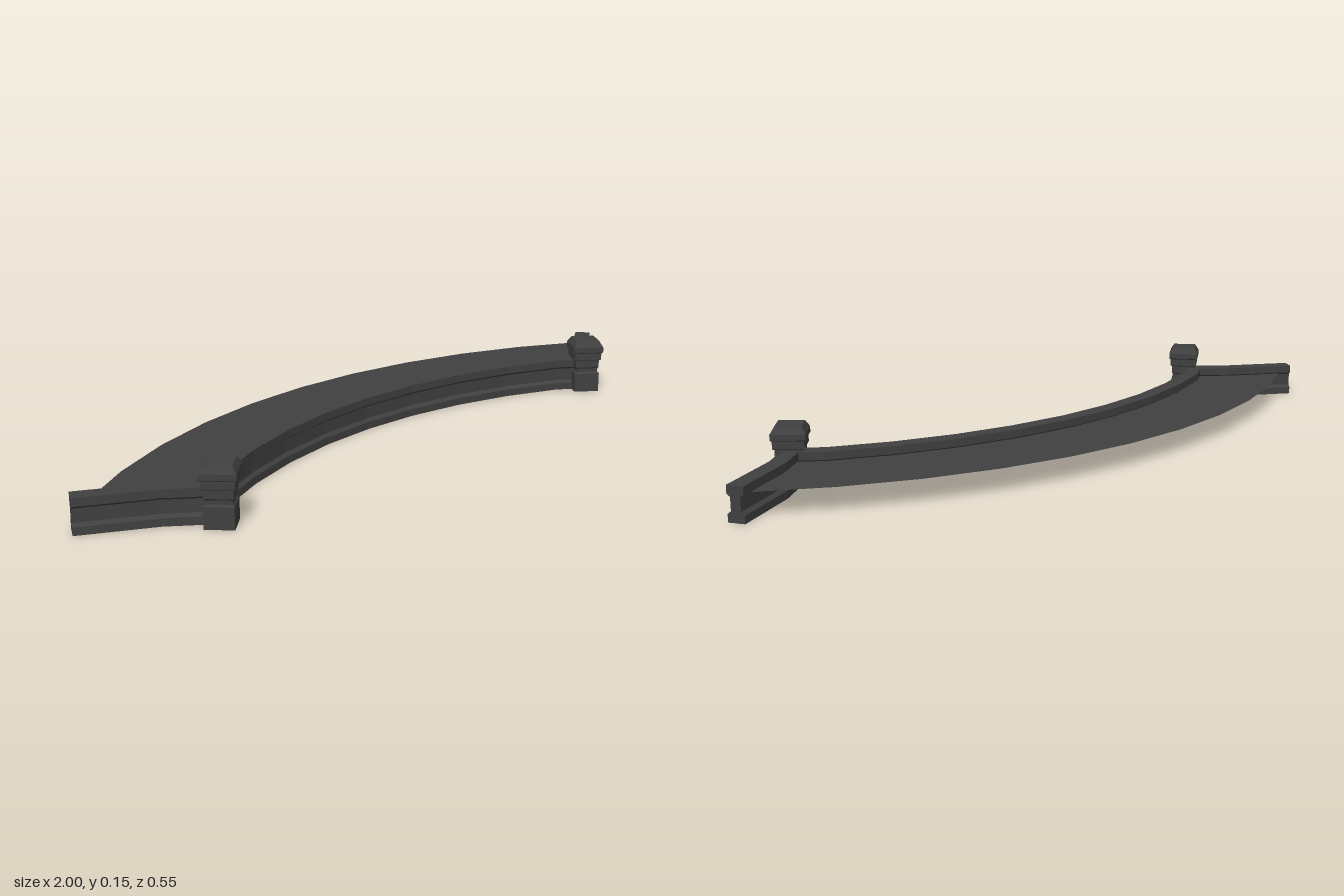
import * as THREE from 'three';

const CZ = 1.445;                       // centre of the arcs on the z axis
const onArc = (r, a) => new THREE.Vector2(r * Math.sin(a), CZ - r * Math.cos(a));
const arc = (r, half, n) =>
  Array.from({ length: n + 1 }, (_, i) => onArc(r, half * (2 * i / n - 1)));

const material = new THREE.MeshStandardMaterial({
  color: 0x404040, flatShading: true, side: THREE.DoubleSide });

// Sweep a closed (offset, height) profile along ground points (x, z) with mitred joints
function sweep(profile, path) {
  const n = path.length - 1;
  const shape = new THREE.Shape(profile.map(p => new THREE.Vector2(...p)));
  const geo = new THREE.ExtrudeGeometry(shape, { depth: n, steps: n, bevelEnabled: false });
  const dirs = path.slice(1).map((p, i) => p.clone().sub(path[i]).normalize());
  const mitres = path.map((_, i) => {
    const a = dirs[Math.max(i - 1, 0)], b = dirs[Math.min(i, n - 1)];
    const t = a.clone().add(b).normalize();
    return new THREE.Vector2(t.y, -t.x).divideScalar(t.dot(a));
  });
  const pos = geo.attributes.position;
  for (let i = 0; i < pos.count; i++) {
    const k = Math.round(pos.getZ(i)), u = pos.getX(i);
    pos.setXYZ(i, path[k].x + u * mitres[k].x, pos.getY(i), path[k].y + u * mitres[k].y);
  }
  geo.computeVertexNormals();
  return geo;
}

export function createModel() {
  const group = new THREE.Group();
  const add = (name, geo) => {
    const mesh = new THREE.Mesh(geo, material);
    mesh.name = name;
    group.add(mesh);
    return mesh;
  };

  // Ground line of the edging: corner, bend and end of each wing
  const wing = [[0.732, 0.178], [0.815, 0.108], [0.988, 0.005]]
    .map(p => new THREE.Vector2(...p));
  const mirrored = wing.map(p => new THREE.Vector2(-p.x, p.y)).reverse();
  const front = arc(1.477, 0.468, 8);

  // Moulded edging: base, narrow neck and cap
  const half = [[0.022, 0], [0.022, 0.02], [0.013, 0.028],
    [0.013, 0.062], [0.022, 0.069], [0.022, 0.09]];
  const profile = [...half, ...half.map(([x, y]) => [-x, y]).reverse()];
  add('edging', sweep(profile, [...mirrored, ...front, ...wing]));

  // Thin curved deck behind the edging
  const outline = [...arc(1.72, 0.585, 10), wing[1], wing[0],
    ...front.slice().reverse(), mirrored[2], mirrored[1]];
  const deck = new THREE.ShapeGeometry(
    new THREE.Shape(outline.map(p => new THREE.Vector2(p.x, -p.y))));
  deck.rotateX(-Math.PI / 2);
  add('deck', deck).position.y = 0.065;

  // Square corner posts with a stepped, chamfered head
  const post = [[0, 0], [0.051, 0], [0.051, 0.055], [0.045, 0.06], [0.045, 0.07],
    [0.049, 0.074], [0.049, 0.095], [0.056, 0.098], [0.056, 0.118], [0.062, 0.121],
    [0.062, 0.136], [0.047, 0.154], [0, 0.154]].map(p => new THREE.Vector2(...p));
  for (const [name, x, z, turn] of [
    ['leftPost', 0.725, 0.195, 0.09], ['rightPost', -0.725, 0.213, -0.09]]) {
    const mesh = add(name, new THREE.LatheGeometry(post, 4));
    mesh.position.set(x, 0, z);
    mesh.rotation.y = turn;
  }
  return group;
}
